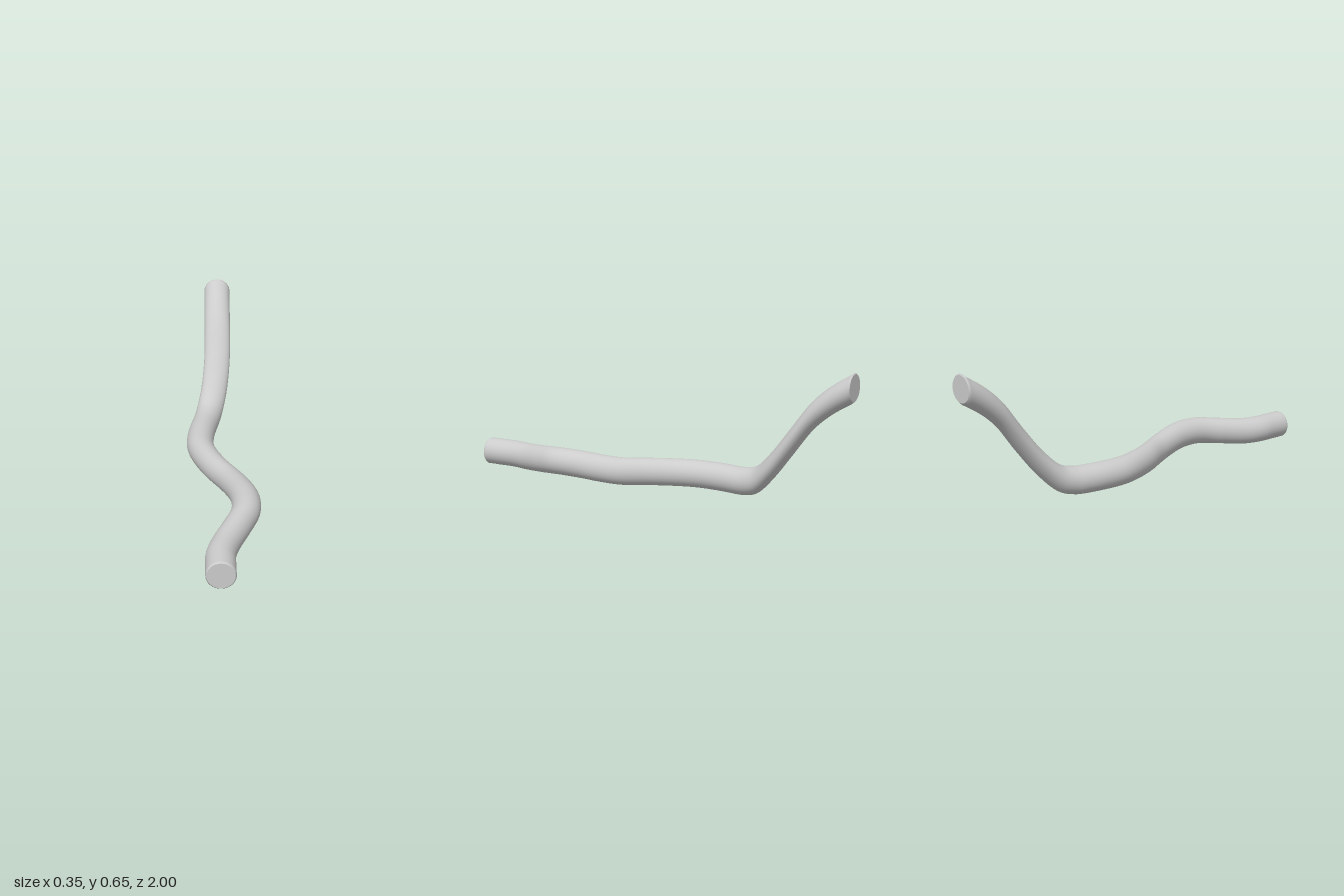
import * as THREE from 'three';

const RADIUS = 0.067, BEVEL = 0.005, SIDES = 48, STEPS = 140;

// Centre line from front to back; every section stays upright, facing z
const centreLine = new THREE.CatmullRomCurve3([
  [-0.017, 0.067, 1], [-0.017, 0.067, 0.92], [-0.016, 0.067, 0.84], [0.005, 0.068, 0.75],
  [0.06, 0.082, 0.62], [0.096, 0.093, 0.53], [0.105, 0.096, 0.46], [0.098, 0.092, 0.37],
  [0.07, 0.078, 0.26], [0.035, 0.068, 0.17], [-0.03, 0.067, 0.05], [-0.08, 0.067, -0.07],
  [-0.102, 0.067, -0.15], [-0.108, 0.067, -0.21], [-0.103, 0.067, -0.31], [-0.087, 0.067, -0.41],
  [-0.078, 0.071, -0.45], [-0.063, 0.09, -0.51], [-0.037, 0.175, -0.6], [-0.02, 0.3, -0.7],
  [-0.017, 0.43, -0.8], [-0.017, 0.486, -0.86], [-0.017, 0.53, -0.92], [-0.017, 0.578, -1],
].map(p => new THREE.Vector3(...p)));

// Joins circular sections { centre, radius } into an open skin
function loft(sections) {
  const positions = [], index = [];
  for (const { centre, radius } of sections) {
    for (let i = 0; i < SIDES; i++) {
      const a = (i / SIDES) * Math.PI * 2;
      positions.push(centre.x + radius * Math.cos(a), centre.y + radius * Math.sin(a), centre.z);
    }
  }
  for (let s = 0; s < sections.length - 1; s++) {
    for (let i = 0; i < SIDES; i++) {
      const j = (i + 1) % SIDES;
      const a = s * SIDES + i, b = s * SIDES + j, c = a + SIDES, d = b + SIDES;
      index.push(a, c, b, b, c, d);
    }
  }
  const geometry = new THREE.BufferGeometry();
  geometry.setAttribute('position', new THREE.Float32BufferAttribute(positions, 3));
  geometry.setIndex(index);
  geometry.computeVertexNormals();
  return geometry;
}

export function createModel() {
  const group = new THREE.Group();
  group.name = 'windingTube';
  const material = new THREE.MeshStandardMaterial({ color: 0xcccccc });
  const add = (geometry, name) => {
    const mesh = new THREE.Mesh(geometry, material);
    mesh.name = name;
    group.add(mesh);
    return mesh;
  };

  // Tube body, with the rim of each end slightly narrowed
  const sections = [];
  for (let s = 0; s <= STEPS; s++) {
    sections.push({ centre: centreLine.getPoint(s / STEPS), radius: RADIUS });
  }
  const front = sections[0].centre.clone(), back = sections[STEPS].centre.clone();
  sections[0].centre.z -= BEVEL;
  sections[STEPS].centre.z += BEVEL;
  sections.unshift({ centre: front, radius: RADIUS - BEVEL });
  sections.push({ centre: back, radius: RADIUS - BEVEL });
  add(loft(sections), 'tubeBody');

  // Flat end caps
  const cap = new THREE.CircleGeometry(RADIUS - BEVEL, SIDES);
  add(cap, 'frontCap').position.copy(front);
  const backCap = add(cap, 'backCap');
  backCap.position.copy(back);
  backCap.rotation.y = Math.PI;

  return group;
}
